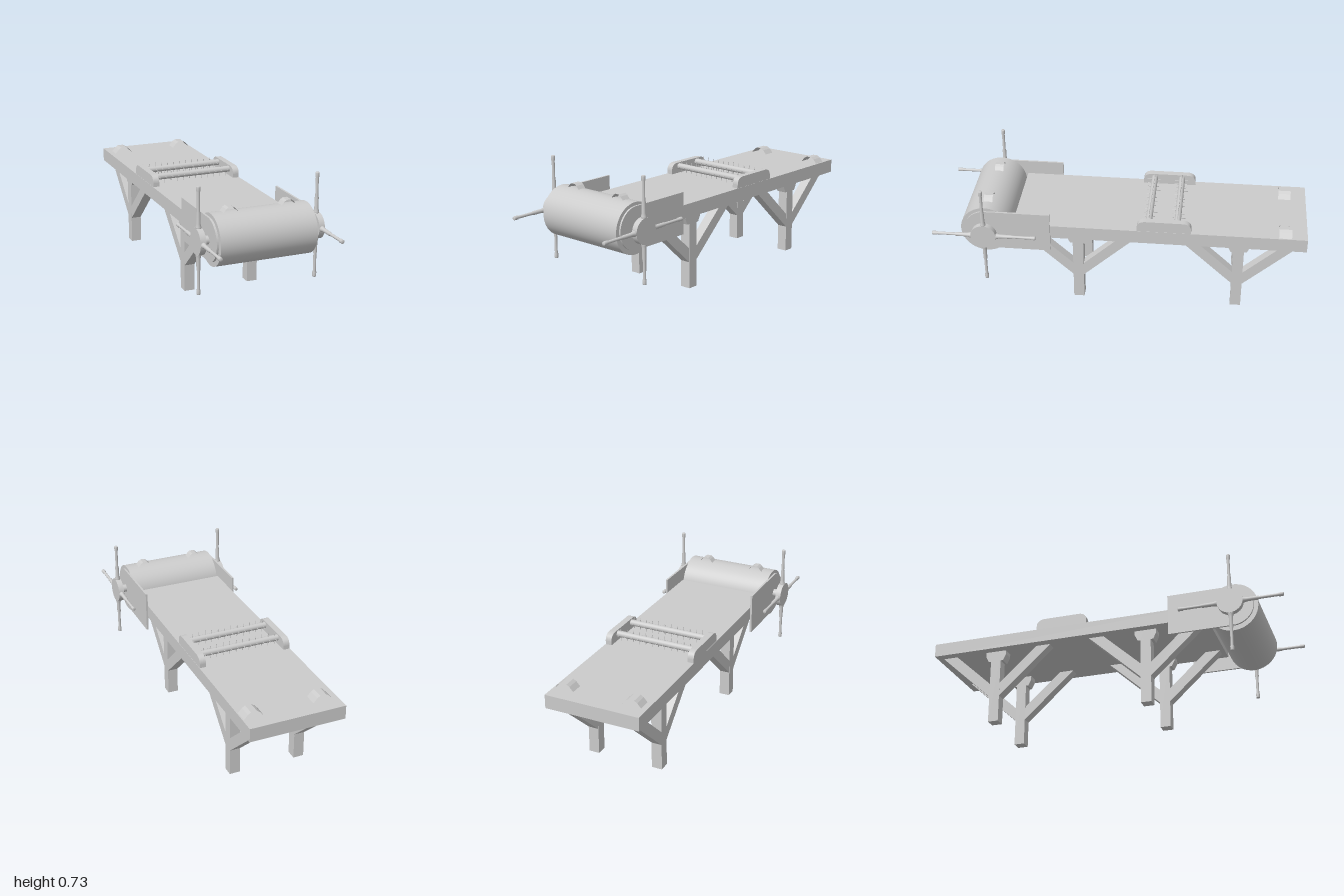
import * as THREE from 'three';

export function createModel() {
  const model = new THREE.Group();
  const grey = new THREE.MeshStandardMaterial({ color: 0xcccccc });
  const thin = new THREE.MeshStandardMaterial({ color: 0xcccccc, side: THREE.DoubleSide, flatShading: true });

  function add(name, geometry, x = 0, y = 0, z = 0, parent = model, material = grey) {
    const mesh = new THREE.Mesh(geometry, material);
    mesh.name = name;
    mesh.position.set(x, y, z);
    parent.add(mesh);
    return mesh;
  }

  // Extrudes a (z, y) outline along x, centred on x = 0
  function sideProfile(shape, width) {
    return new THREE.ExtrudeGeometry(shape, { depth: width, bevelEnabled: false, curveSegments: 24 })
      .translate(0, 0, -width / 2).rotateY(-Math.PI / 2);
  }
  const polygon = pts => new THREE.Shape(pts.map(p => new THREE.Vector2(...p)));
  const rod = (r, length, sides = 24) => new THREE.CylinderGeometry(r, r, length, sides).rotateZ(Math.PI / 2);

  // Table bed
  add('bed', new THREE.BoxGeometry(0.52, 0.075, 1.575), 0, 0.4555, -0.2125);

  // Legs with a capital and two diagonal braces
  const capital = polygon([[-0.043, 0.36], [0.043, 0.36], [0.06, 0.395], [0.06, 0.42], [-0.06, 0.42], [-0.06, 0.395]]);
  const brace = [[0.028, 0.147], [0.323, 0.419], [0.24, 0.419], [0.028, 0.224]];
  for (const x of [-0.185, 0.185]) {
    for (const z of [0.228, -0.643]) {
      const leg = new THREE.Group();
      leg.name = 'leg';
      leg.position.set(x, 0, z);
      model.add(leg);
      add('post', new THREE.BoxGeometry(0.058, 0.42, 0.058), 0, 0.21, 0, leg);
      add('capital', sideProfile(capital, 0.058), 0, 0, 0, leg);
      for (const s of [-1, 1]) {
        add('brace', sideProfile(polygon(brace.map(([u, y]) => [u * s, y])), 0.056), 0, 0, 0, leg);
      }
    }
  }

  // Winding drum and axle
  const axisY = 0.453, axisZ = 0.72;
  add('drum', rod(0.135, 0.524, 64), 0.002, axisY, axisZ);
  add('axle', rod(0.022, 0.63), 0, axisY, axisZ);

  // Side plates with a round end about the axle
  const plate = new THREE.Shape();
  plate.moveTo(0.37, 0.343);
  plate.lineTo(axisZ, 0.343);
  plate.absarc(axisZ, 0.4565, 0.1135, -Math.PI / 2, Math.PI / 2, false);
  plate.lineTo(0.37, 0.57);

  // Spoke profile: flared root, slim shaft, end knob
  const spoke = new THREE.LatheGeometry([
    [0, 0.05], [0.0155, 0.066], [0.015, 0.072], [0.011, 0.09], [0.0105, 0.148], [0.008, 0.154], [0.008, 0.252],
    [0.0105, 0.255], [0.0105, 0.276], [0.009, 0.28], [0, 0.28]
  ].map(p => new THREE.Vector2(...p)), 16);

  for (const s of [-1, 1]) {
    add('sidePlate', sideProfile(plate, 0.011), s * 0.268, 0, 0);
    const wheel = new THREE.Group();
    wheel.name = 'crankWheel';
    wheel.position.set(s * 0.323, axisY, axisZ);
    model.add(wheel);
    add('hub', rod(0.069, 0.031, 32), 0, 0, 0, wheel);
    for (let i = 0; i < 4; i++) add('spoke', spoke, 0, 0, 0, wheel).rotation.x = i * Math.PI / 2;
  }

  // Arched straps for wrists and ankles
  const arch = [[-0.5, 0], [-0.3, 0.7], [-0.15, 1], [0.15, 1], [0.3, 0.7], [0.5, 0]];
  function strap(name, x, y, z, width, height, depth) {
    const g = new THREE.PlaneGeometry(1, depth, 5, 1).rotateX(-Math.PI / 2);
    const p = g.attributes.position;
    for (let i = 0; i < p.count; i++) {
      const [u, v] = arch[i % 6];
      p.setX(i, u * width);
      p.setY(i, v * height);
    }
    g.computeVertexNormals();
    add(name, g, x, y, z, model, thin);
  }
  for (const s of [-1, 1]) {
    strap('drumStrap', s * 0.158, 0.585, 0.713, 0.082, 0.028, 0.048);
    strap('bedStrap', s * 0.188 + 0.012, 0.492, -0.883, 0.108, 0.035, 0.068);
  }

  // Spiked roller frame: two rounded cheeks
  const cheek = new THREE.Shape();
  cheek.moveTo(-0.385, 0.49);
  cheek.lineTo(-0.095, 0.49);
  cheek.lineTo(-0.095, 0.515);
  cheek.quadraticCurveTo(-0.098, 0.552, -0.14, 0.553);
  cheek.lineTo(-0.34, 0.553);
  cheek.quadraticCurveTo(-0.382, 0.552, -0.385, 0.515);
  for (const s of [-1, 1]) add('rollerCheek', sideProfile(cheek, 0.035), s * 0.241, 0, 0);

  // Rollers with rings of spikes
  const spike = new THREE.ConeGeometry(0.003, 0.026, 6).translate(0, 0.028, 0);
  for (const z of [-0.31, -0.157]) {
    const roller = new THREE.Group();
    roller.name = 'spikedRoller';
    roller.position.set(0, 0.531, z);
    model.add(roller);
    add('rollerBar', rod(0.017, 0.46), 0, 0, 0, roller);
    for (let i = 0; i < 12; i++) {
      for (let k = 0; k < 4; k++) {
        add('spike', spike, -0.205 + i * 0.0373, 0, 0, roller).rotation.x = k * Math.PI / 2;
      }
    }
  }

  return model;
}
